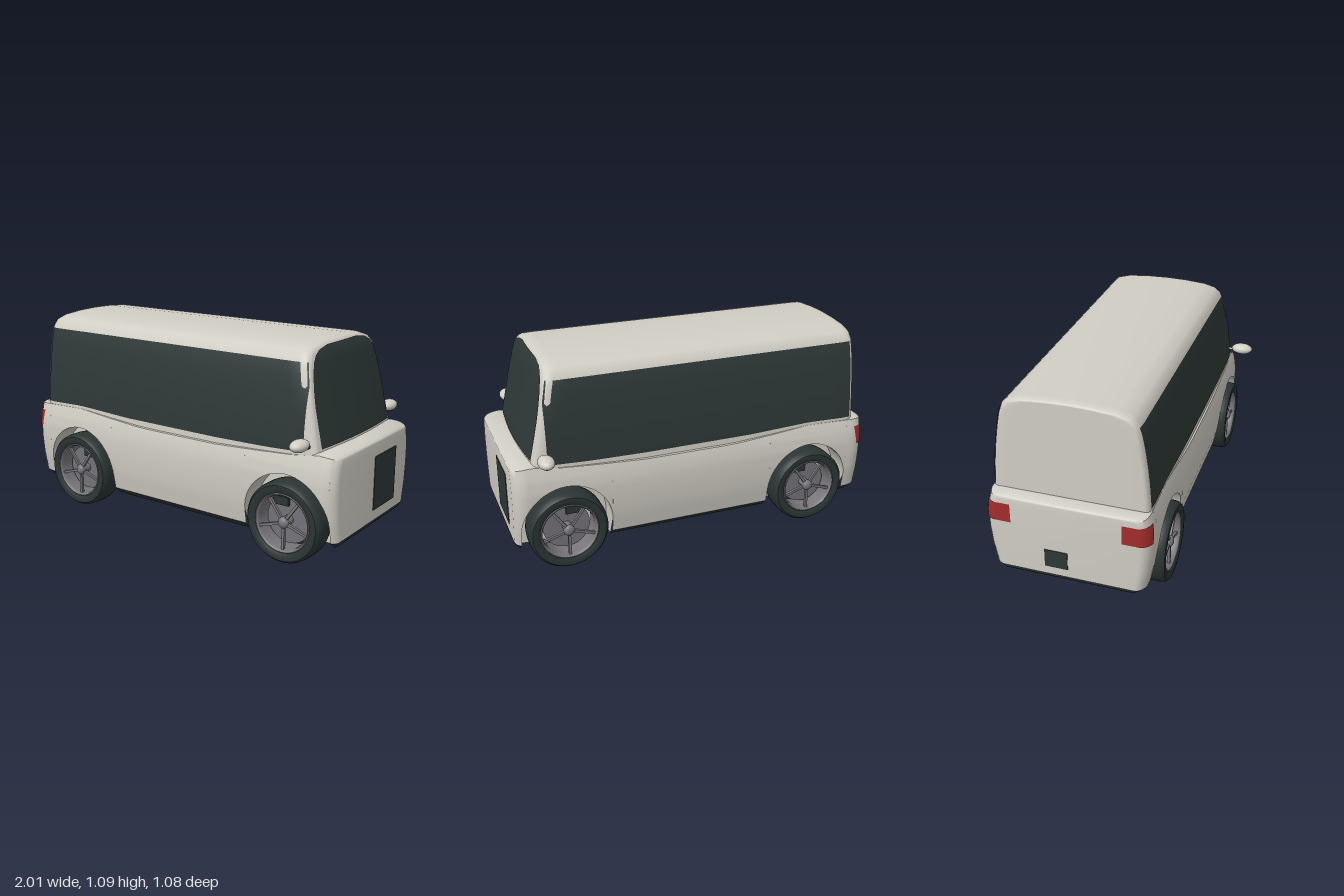
import * as THREE from 'three';
import { mergeGeometries, toCreasedNormals } from 'three/addons/utils/BufferGeometryUtils.js';

const mat = (name, color, side = THREE.FrontSide) => {
  const m = new THREE.MeshStandardMaterial({ color, side });
  m.name = name;
  return m;
};

// Piecewise-linear lookup in [[key, value], ...]
const lookup = (table, k) => {
  for (let i = 1; i < table.length; i++) {
    const [k0, v0] = table[i - 1], [k1, v1] = table[i];
    if (k <= k1) return v0 + (v1 - v0) * Math.max(0, (k - k0) / (k1 - k0));
  }
  return table[table.length - 1][1];
};

// Surface through columns of [x, y, z] points; keep(i) selects the strips to fill
function grid(cols, flip = false, keep = () => true) {
  const n = cols[0].length, index = [];
  for (let i = 0; i < cols.length - 1; i++) {
    if (!keep(i)) continue;
    for (let j = 0; j < n - 1; j++) {
      const a = i * n + j, b = a + n, c = a + 1, d = b + 1;
      index.push(...(flip ? [a, c, b, b, c, d] : [a, b, c, b, d, c]));
    }
  }
  const g = new THREE.BufferGeometry();
  g.setAttribute('position', new THREE.Float32BufferAttribute(cols.flat(2), 3));
  g.setIndex(index);
  return g;
}
const smooth = (geos) => toCreasedNormals(mergeGeometries(geos), 0.7);
const mirrored = (half) => [...half, ...half.map(([x, y, z]) => [x, y, -z]).reverse()];
const steps = (n, f) => Array.from({ length: n + 1 }, (_, i) => f(i / n));

// Lower body rules
const WHEELS = [-0.65, 0.73], ARCH_R = 0.24, ARCH_Y = 0.22, WELL_Z = 0.29;
const WIDTH = [[0.1, 0.385], [0.14, 0.397], [0.25, 0.418], [0.35, 0.427], [0.44, 0.428], [0.5, 0.42], [0.54, 0.41], [0.59, 0.395]];
const SHOULDER = [[-1, 0.56], [-0.9, 0.56], [-0.65, 0.567], [-0.45, 0.55], [-0.2, 0.532], [0.3, 0.532], [0.55, 0.545], [0.75, 0.558], [0.9, 0.578], [1, 0.572]];
const endCurve = (x) => {
  const d = Math.min(1, Math.max(0, (1 - Math.abs(x)) / 0.08));
  return 1 - Math.sqrt(1 - (1 - d) ** 2);
};
const skinZ = (x, y) => lookup(WIDTH, y) - 0.06 * endCurve(x);
const archCut = (x) => {
  for (const c of WHEELS) {
    const d = Math.abs(x - c);
    if (d <= ARCH_R + 1e-6) return ARCH_Y + Math.sqrt(Math.max(0, ARCH_R ** 2 - d * d));
  }
  return 0;
};

// Upper body rules
const PROFILE = [[0.405, 0.5], [0.4, 0.6], [0.393, 0.7], [0.382, 0.8], [0.367, 0.9], [0.353, 0.97], [0.336, 1.02], [0.305, 1.053], [0.24, 1.072], [0.12, 1.082], [0, 1.085]];
const UPPER = PROFILE.map(([z, y]) => [y, z]);
const REAR = -0.93, END_R = 0.05;
const frontX = (y, z) => 0.912 - (y - 0.57) * 0.22 - Math.max(0, y - 1) ** 2 * 4 - 0.022 * (z / 0.37) ** 2;
const inset = (d) => {
  const t = Math.min(1, Math.max(0, d / END_R));
  return 0.025 * (1 - Math.sqrt(1 - (1 - t) ** 2));
};

function lowerBody(group, body, dark) {
  const xs = steps(6, (t) => 1 - 0.08 * (1 - Math.cos(t * Math.PI / 2))).flatMap((x) => [x, -x]);
  xs.push(...steps(10, (t) => -0.4 + t * 0.88));
  for (const c of WHEELS) {
    xs.push(...steps(24, (t) => c - ARCH_R * Math.cos(t * Math.PI)), c - ARCH_R - 1e-4, c + ARCH_R + 1e-4);
  }
  xs.sort((a, b) => a - b);
  const base = (x) => 0.1 + 0.04 * endCurve(x);
  const sill = (x) => 0.14 + 0.006 * endCurve(x);
  const top = (x) => lookup(SHOULDER, x) - 0.016 * endCurve(x);
  const skin = xs.map((x) => {
    const y0 = archCut(x) || sill(x);
    return steps(12, (t) => {
      const y = y0 + (top(x) - y0) * t;
      return [x, y, skinZ(x, y)];
    });
  });
  // Skin with shoulder and deck in one strip over the top
  const shell = skin.map((col) => {
    const [x, y, z] = col[col.length - 1];
    return mirrored([...col, [x, y + 0.008, z - 0.018], [x, y + 0.008, 0]]);
  });
  const cap = (cols, front) => grid(cols.map(([x, y, z]) => [[x, y, z], [x, y, -z]]), front);
  const last = xs.length - 1;
  const capPts = (i) => [...skin[i], ...shell[i].slice(13, 15)];
  const bodyGeos = [grid(shell), cap(capPts(0), false), cap(capPts(last), true)];

  const sillCols = xs.map((x) => {
    const cut = archCut(x), b = cut || base(x), s = cut || sill(x);
    return [[x, b, skinZ(x, b) - (cut ? 0 : 0.03)], [x, s, skinZ(x, s)]];
  });
  const darkGeos = [
    grid(xs.map((x) => [[x, base(x), -WELL_Z], [x, base(x), WELL_Z]])),
    cap(sillCols[0], false), cap(sillCols[last], true),
  ];
  const inWell = (i) => archCut(xs[i]) > 0 || archCut(xs[i + 1]) > 0;
  for (const s of [1, -1]) {
    const side = (cols) => cols.map((c) => c.map(([x, y, z]) => [x, y, s * z]));
    const lip = xs.map((x, i) => [[x, base(x), WELL_Z], sillCols[i][0]]);
    const well = xs.map((x, i) => [[x, base(x), WELL_Z], [x, archCut(x) || base(x), WELL_Z], sillCols[i][0]]);
    darkGeos.push(grid(side(sillCols), s < 0, (i) => !inWell(i)), grid(side(lip), s < 0, (i) => !inWell(i)));
    bodyGeos.push(grid(side(well), s < 0, inWell));
  }
  group.add(part('lowerBody', smooth(bodyGeos), body), part('underbody', smooth(darkGeos), dark));
}

function upperBody(group, body, glass) {
  const ds = steps(6, (t) => END_R * (1 - Math.cos(t * Math.PI / 2)));
  const column = (xAt, d) => mirrored(PROFILE.map(([z, y]) => {
    const k = inset(d), zi = z * (1 - k / 0.4), yi = 0.5 + (y - 0.5) * (1 - 0.6 * k / 0.585);
    return [xAt(yi, zi), yi, zi];
  }));
  const cols = [
    ...ds.map((d) => column(() => REAR + d, d)),
    ...ds.reverse().map((d) => column((y, z) => frontX(y, z) - d, d)),
  ];
  const cap = (col, xAt, flip) => grid(col.slice(0, PROFILE.length).map(([, y, z]) =>
    steps(12, (t) => [xAt(y, z * (1 - 2 * t)), y, z * (1 - 2 * t)])), flip);
  group.add(part('upperBody', smooth([
    grid(cols), cap(cols[0], () => REAR, false), cap(cols[cols.length - 1], frontX, true),
  ]), body));

  // Windscreen with rounded upper corners
  const screen = [[0.597, 0.354], [0.7, 0.354], [0.8, 0.352], [0.88, 0.342], [0.95, 0.327], [1, 0.308], [1.03, 0.28], [1.05, 0.235], [1.064, 0.15]];
  group.add(part('windscreen', smooth([grid(screen.map(([y, h]) => steps(12, (t) => {
    const z = h * (1 - 2 * t);
    return [frontX(y, z) + 0.005, y, z];
  })), true)]), glass));

  // Long side windows following the shoulder
  const sill = [[-0.91, 0.578], [-0.65, 0.585], [-0.3, 0.57], [0.3, 0.567], [0.6, 0.572], [0.82, 0.582]];
  for (const s of [1, -1]) {
    const win = steps(30, (u) => steps(12, (v) => {
      const y0 = lookup(sill, -0.91 + u * 1.73), y = y0 + (1.003 - y0) * v;
      const fx = frontX(y, 0.35), x = -0.907 + u * (Math.min(0.816, fx - 0.005) + 0.907);
      const z = lookup(UPPER, y) - inset(Math.min(fx - x, x - REAR)) + 0.004;
      return [x, y, s * z];
    }));
    group.add(part('sideWindow', smooth([grid(win, s < 0)]), glass));
  }
}

function part(name, geometry, material, x = 0, y = 0, z = 0) {
  const m = new THREE.Mesh(geometry, material);
  m.name = name;
  m.position.set(x, y, z);
  return m;
}

// Wheel facing +z, centred on its axle
function wheel(m, caliperX) {
  const g = new THREE.Group();
  g.name = 'wheel';
  const lathe = (pts) => toCreasedNormals(new THREE.LatheGeometry(pts.map(([r, h]) => new THREE.Vector2(r, h)), 48).rotateX(Math.PI / 2), 0.7);
  g.add(part('tyre', lathe([[0.155, -0.065], [0.175, -0.072], [0.195, -0.07], [0.207, -0.055], [0.21, -0.03], [0.21, 0.03], [0.207, 0.055], [0.195, 0.07], [0.175, 0.072], [0.155, 0.062], [0.15, 0.05]]), m.dark));
  g.add(part('rim', lathe([[0.15, -0.065], [0.156, -0.065], [0.156, 0.06], [0.15, 0.064], [0.143, 0.058], [0.14, 0.04], [0.143, -0.06], [0.15, -0.065]]), m.rim));
  g.add(part('brakeDisc', new THREE.CylinderGeometry(0.125, 0.125, 0.012, 40).rotateX(Math.PI / 2), m.disc, 0, 0, -0.015));
  g.add(part('brakeCaliper', new THREE.BoxGeometry(0.085, 0.045, 0.04), m.dark, caliperX, 0.095, -0.01));
  g.add(part('axle', new THREE.CylinderGeometry(0.025, 0.025, 0.12, 20).rotateX(Math.PI / 2), m.rim, 0, 0, -0.01));
  g.add(part('hub', new THREE.SphereGeometry(0.03, 24, 16).scale(1, 1, 0.7), m.rim, 0, 0, 0.045));
  for (let i = 0; i < 5; i++) {
    const a = -Math.PI / 2 + i * Math.PI * 2 / 5;
    const spoke = part('spoke', new THREE.BoxGeometry(0.13, 0.014, 0.016), m.rim, Math.cos(a) * 0.083, Math.sin(a) * 0.083, 0.042);
    spoke.rotation.z = a;
    g.add(spoke);
  }
  return g;
}

export function createModel() {
  const van = new THREE.Group();
  van.name = 'van';
  const m = {
    body: mat('paint', 0xd0cdc4), glass: mat('tinted glass', 0x2d3836, THREE.DoubleSide),
    dark: mat('black rubber', 0x2b3534), rim: mat('rim grey', 0x77757a),
    disc: mat('disc grey', 0x74727a), red: mat('tail light red', 0xa32c2c, THREE.DoubleSide),
  };
  lowerBody(van, m.body, m.dark);
  upperBody(van, m.body, m.glass);

  // Dark panels on the nose and tail
  van.add(part('nosePanel', new THREE.BoxGeometry(0.006, 0.29, 0.24), m.glass, 1, 0.345, -0.12));
  van.add(part('tailPanel', new THREE.BoxGeometry(0.006, 0.1, 0.12), m.glass, -1, 0.24, -0.055));

  for (const s of [1, -1]) {
    WHEELS.forEach((x) => {
      const w = wheel(m, x < 0 ? 0.04 : -0.04);
      if (s < 0) { w.rotation.y = Math.PI; w.children[3].position.x *= -1; }
      w.position.set(x, 0.21, s * 0.383);
      van.add(w);
    });
    // Door mirror on a thin stalk
    van.add(part('mirror', new THREE.SphereGeometry(1, 32, 20).scale(0.042, 0.031, 0.063), m.body, 0.838, 0.636, s * 0.476));
    van.add(part('mirrorStalk', new THREE.BoxGeometry(0.025, 0.012, 0.09), m.dark, 0.838, 0.611, s * 0.42));
    // Tail light wrapped round the corner
    const light = steps(4, (v) => {
      const y = 0.415 + 0.105 * v, end = -0.955 + 0.02 * v;
      const wrap = steps(10, (t) => {
        const x = -1 + (end + 1) * t * t;
        return [x - 0.004 * (1 - t), y, s * (skinZ(x, y) + 0.004)];
      });
      return [[-1.004, y, s * 0.285], ...wrap];
    });
    van.add(part('tailLight', smooth([grid(light, s < 0)]), m.red));
  }
  return van;
}
